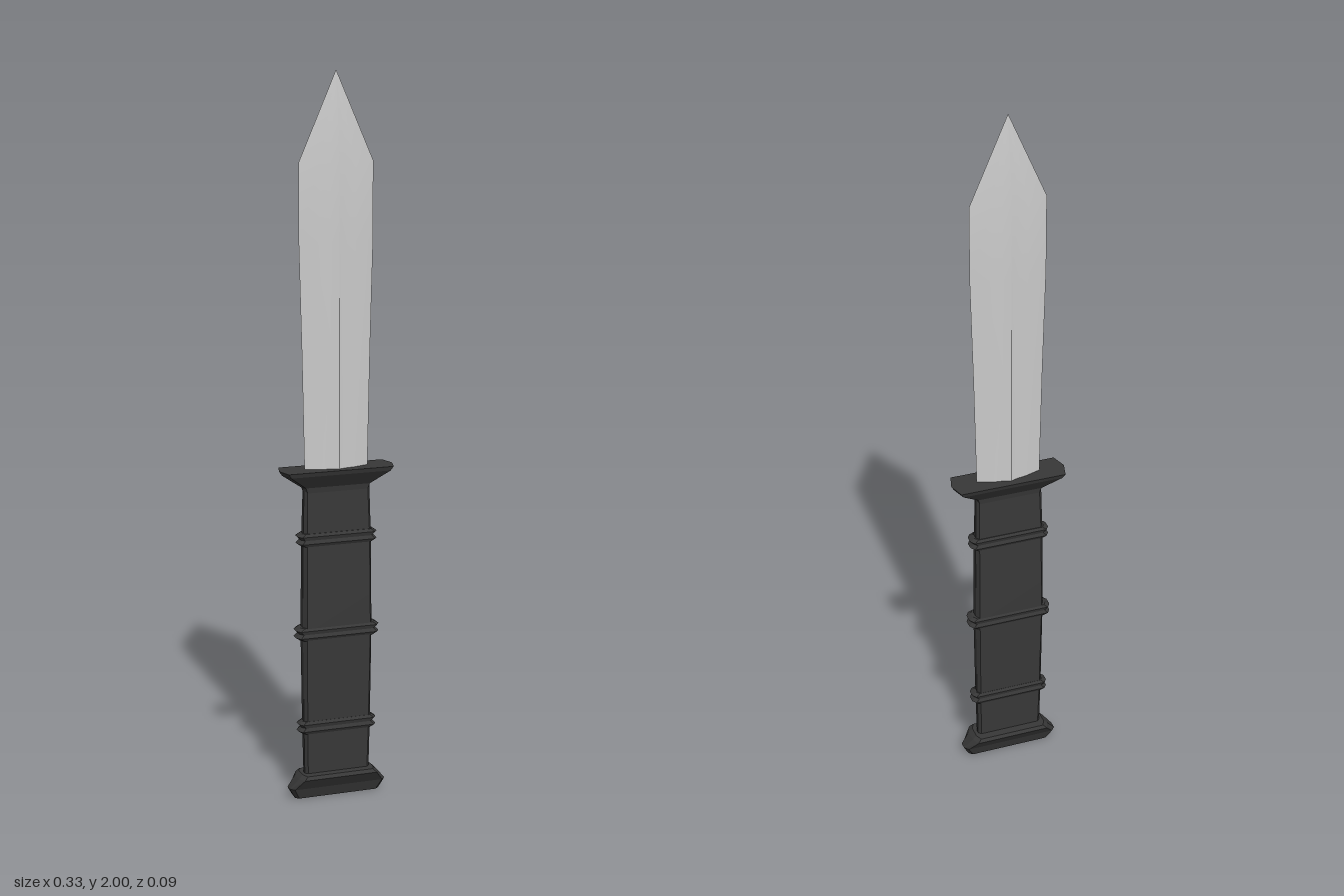
import * as THREE from 'three';
import { toCreasedNormals } from 'three/addons/utils/BufferGeometryUtils.js';

// Quarter outlines (x, z) from the side edge to the middle, in half-width / half-thickness units
const HEX = [[1, 0], [0.92, 1]];
const OCT = [[1, 0.45], [0.92, 1]];
const BLADE = [[1, 0], [0.48, 0.6], [0.22, 0.74], [0, 1]];

// Mirror a quarter outline into a full loop, counter-clockwise seen from above
function fullOutline(quarter) {
  const half = [...quarter, ...quarter.slice().reverse().filter(p => p[0] > 0).map(([x, z]) => [-x, z])];
  const back = half.map(([x, z]) => [x, -z]);
  const front = half.slice().reverse().filter(p => p[1] > 0);
  return [...back, ...front];
}

// Skin a stack of sections [y, halfWidth, halfThickness] that share one outline
function loft(quarter, sections, crease) {
  const ring = fullOutline(quarter);
  const n = ring.length;
  const pos = [];
  const idx = [];
  for (const [y, w, t] of sections) for (const [x, z] of ring) pos.push(x * w, y, z * t);
  for (let s = 0; s < sections.length - 1; s++) {
    for (let i = 0; i < n; i++) {
      const a = s * n + i, b = s * n + (i + 1) % n;
      if (sections[s + 1][1] > 0) idx.push(a, b, b + n, a, b + n, a + n);
      else idx.push(a, b, a + n);
    }
  }
  // End caps meet at a centre point
  const last = (sections.length - 1) * n;
  const c = pos.length / 3;
  pos.push(0, sections[0][0], 0, 0, sections[sections.length - 1][0], 0);
  for (let i = 0; i < n; i++) {
    const j = (i + 1) % n;
    idx.push(c, j, i);
    if (sections[sections.length - 1][1] > 0) idx.push(c + 1, last + i, last + j);
  }
  const g = new THREE.BufferGeometry();
  g.setAttribute('position', new THREE.Float32BufferAttribute(pos, 3));
  g.setIndex(idx);
  return toCreasedNormals(g, crease);
}

export function createModel() {
  const group = new THREE.Group();
  const steel = new THREE.MeshStandardMaterial({ color: 0xcccccc });
  const black = new THREE.MeshStandardMaterial({ color: 0x383838 });
  const add = (name, geometry, material) => {
    const mesh = new THREE.Mesh(geometry, material);
    mesh.name = name;
    group.add(mesh);
  };

  // Double-edged blade with a raised central ridge
  add('blade', loft(BLADE, [
    [0.9, 0.09, 0.026], [1.25, 0.097, 0.027], [1.55, 0.105, 0.027], [1.76, 0.105, 0.027], [2, 0, 0],
  ], 0.4), steel);

  // Flared cross guard
  add('guard', loft(HEX, [
    [0.87, 0.094, 0.014], [0.885, 0.1, 0.016], [0.922, 0.155, 0.042], [0.934, 0.163, 0.046],
  ], 0.1), black);

  // Flat grip, slightly swollen in the middle
  add('grip', loft(OCT, [
    [0.05, 0.094, 0.013], [0.205, 0.097, 0.018], [0.475, 0.1, 0.024], [0.74, 0.098, 0.02], [0.89, 0.094, 0.013],
  ], 0.35), black);

  // Double-ridged bands around the grip
  for (const [y, w, t] of [[0.205, 0.113, 0.023], [0.475, 0.12, 0.027], [0.74, 0.114, 0.025]]) {
    add('gripBand', loft(OCT, [
      [y - 0.018, w - 0.012, t - 0.004], [y - 0.01, w, t], [y, w - 0.01, t - 0.003],
      [y + 0.01, w, t], [y + 0.018, w - 0.012, t - 0.004],
    ], 0.3), black);
  }

  // Pommel: wide rim above, narrowing to a thin base
  add('pommel', loft(OCT, [
    [0, 0.122, 0.013], [0.012, 0.13, 0.017], [0.03, 0.14, 0.023], [0.06, 0.115, 0.042], [0.07, 0.104, 0.037],
  ], 0.1), black);

  return group;
}
